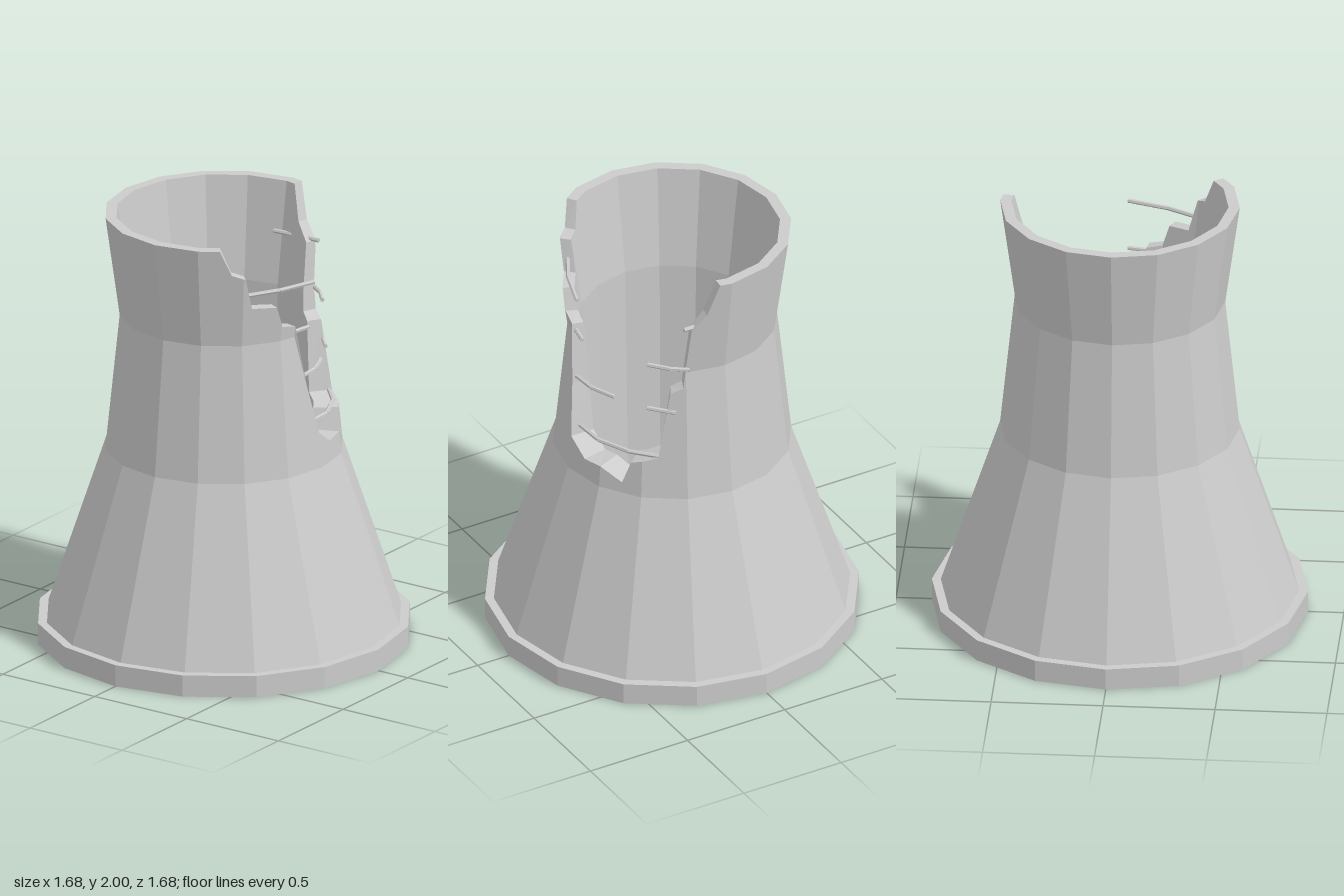
import * as THREE from 'three';

const SIDES = 16, STEP = 360 / SIDES;
const OUTER = [[0.8, 0.1], [0.535, 0.9], [0.47, 1.53], [0.535, 2]];
const INNER = [[0.39, 0.46], [0.415, 1.53], [0.485, 2]];

// broken edge: angle from +x towards +z in degrees, height of the wall there
const BREAK = [
  [-84, 2], [-78, 1.84], [-70, 1.76], [-68, 1.6], [-66, 1.45], [-59, 1.42], [-53, 1.1],
  [-39, 1.06], [-34.5, 0.95], [-22.5, 1.0], [-11, 0.99], [0, 1.06], [6, 1.3], [12, 1.58],
  [22, 1.6], [26, 1.7], [40, 1.71], [44, 1.86], [51, 1.88], [57, 2],
];

// linear interpolation in a list of [key, value]
function lerpTable(table, k) {
  if (k <= table[0][0]) return table[0][1];
  for (let i = 1; i < table.length; i++) {
    const [k0, v0] = table[i - 1], [k1, v1] = table[i];
    if (k <= k1) return v0 + (v1 - v0) * (k - k0) / (k1 - k0);
  }
  return table[table.length - 1][1];
}
const radiusAt = (profile, y) => lerpTable(profile.map(([r, h]) => [h, r]), y);

// point on a 16-sided ring of corner radius r
function ringPoint(deg, r, y) {
  const off = ((deg % STEP) + STEP) % STEP - STEP / 2;
  const d = r * Math.cos(Math.PI / SIDES) / Math.cos(off * Math.PI / 180);
  const a = deg * Math.PI / 180;
  return [d * Math.cos(a), y, d * Math.sin(a)];
}

// closed wall section at one angle, cut off at the broken edge
function section(deg) {
  const h = lerpTable(BREAK, deg);
  const cut = profile => profile.map(([r, y]) => y > h ? [radiusAt(profile, h), h] : [r, y]);
  return [
    [0.84, 0], [0.84, 0.1], ...cut(OUTER), ...cut(INNER).reverse(),
    [0.785, 0.1], [0.825, 0.1], [0.825, 0], [0.84, 0],
  ].map(([r, y]) => ringPoint(deg, r, y));
}

function wallGeometry() {
  const angles = BREAK.map(b => b[0]);
  for (let i = 0; i < SIDES; i++) angles.push(-180 + i * STEP);
  angles.push(180);
  const sorted = [...new Set(angles)].sort((a, b) => a - b);
  const sections = sorted.map(section);
  const pos = [];
  for (let i = 0; i < sections.length - 1; i++) {
    const s = sections[i], t = sections[i + 1];
    for (let j = 0; j < s.length - 1; j++) {
      pos.push(...s[j], ...s[j + 1], ...t[j + 1], ...s[j], ...t[j + 1], ...t[j]);
    }
  }
  const geo = new THREE.BufferGeometry();
  geo.setAttribute('position', new THREE.Float32BufferAttribute(pos, 3));
  geo.computeVertexNormals();
  return geo;
}

// bent reinforcing bar lying level at height y through [x, z] points
function bar(y, points, material) {
  const path = new THREE.CurvePath();
  const pts = points.map(([x, z]) => new THREE.Vector3(x, y, z));
  for (let i = 1; i < pts.length; i++) path.add(new THREE.LineCurve3(pts[i - 1], pts[i]));
  const group = new THREE.Group();
  group.name = 'reinforcingBar';
  for (const line of path.curves) {
    const length = line.getLength();
    const mesh = new THREE.Mesh(new THREE.CylinderGeometry(0.01, 0.01, length, 6), material);
    mesh.position.copy(line.getPoint(0.5));
    mesh.quaternion.setFromUnitVectors(new THREE.Vector3(0, 1, 0), line.getTangent(0));
    mesh.name = 'barPiece';
    group.add(mesh);
  }
  return group;
}

export function createModel() {
  const model = new THREE.Group();
  model.name = 'ruinedCoolingTower';
  const material = new THREE.MeshStandardMaterial({
    color: 0xcccccc, flatShading: true, side: THREE.DoubleSide,
  });

  // tower wall with foot ring and broken side
  const wall = new THREE.Mesh(wallGeometry(), material);
  wall.name = 'towerWall';
  model.add(wall);

  // floor closing the shaft
  const floor = new THREE.Mesh(new THREE.CircleGeometry(0.39, SIDES), material);
  floor.rotation.x = -Math.PI / 2;
  floor.position.y = 0.46;
  floor.name = 'shaftFloor';
  model.add(floor);

  // bars sticking out of the broken edge
  const bars = [
    [1.77, [[0.34, 0.34], [0.43, 0.18], [0.49, 0]]],
    [1.77, [[0.2, -0.45], [0.09, -0.45], [-0.04, -0.44]]],
    [1.55, [[0.44, 0.11], [0.46, 0]]],
    [1.55, [[0.17, -0.45], [0.24, -0.4], [0.31, -0.32]]],
    [1.33, [[0.46, 0.06], [0.45, -0.06], [0.4, -0.18]]],
    [1.33, [[0.23, -0.43], [0.32, -0.33]]],
    [1.1, [[0.47, 0.02], [0.46, -0.14], [0.39, -0.29], [0.28, -0.41]]],
  ];
  for (const [y, points] of bars) model.add(bar(y, points, material));
  return model;
}
